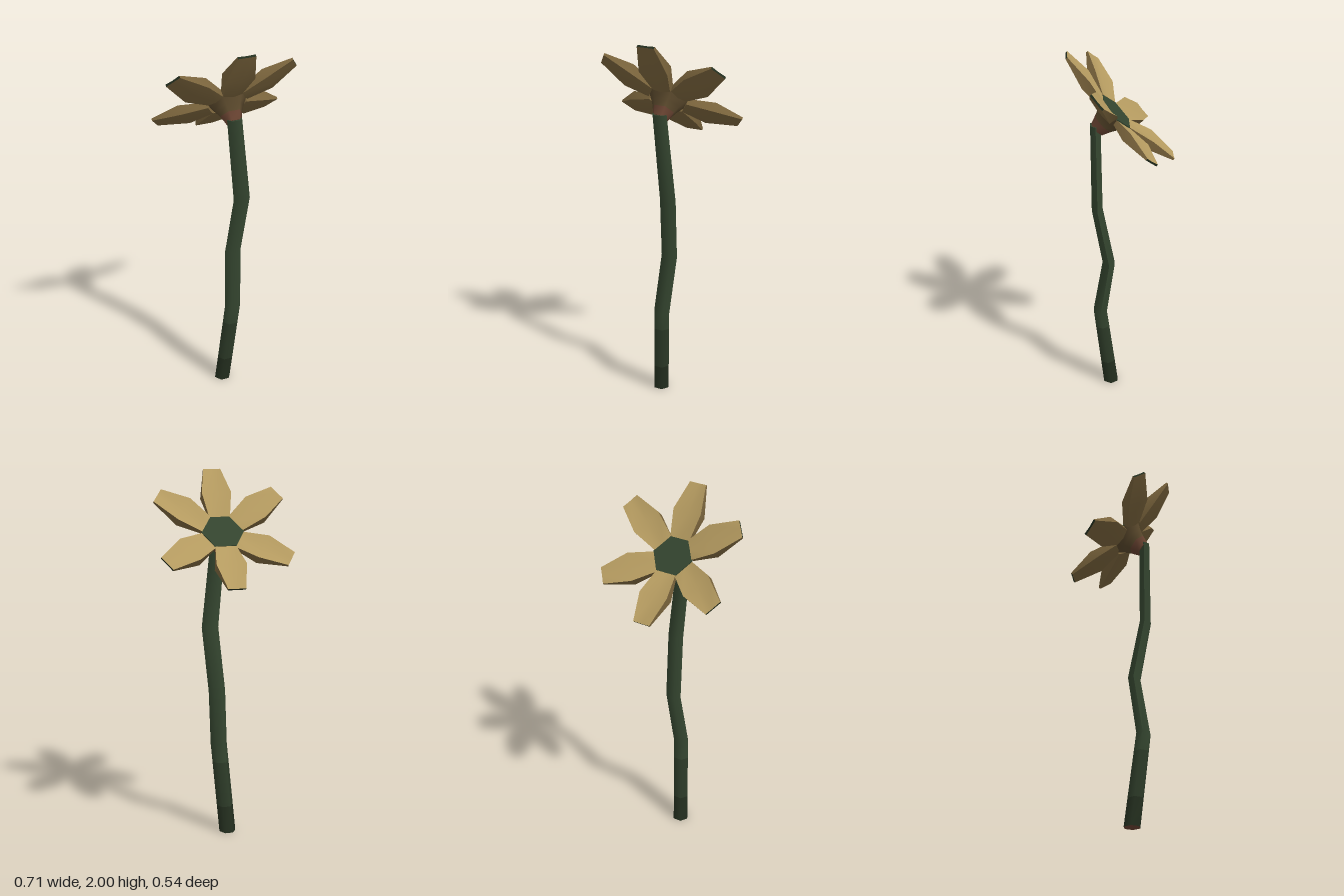
import * as THREE from 'three';
import { toCreasedNormals } from 'three/addons/utils/BufferGeometryUtils.js';

function flat(name, color) {
  const material = new THREE.MeshStandardMaterial({ color });
  material.name = name;
  return material;
}

// Skin over loops of points (each loop counter-clockwise seen from the far end), with both ends capped.
// sideSlot(i, j) picks the material of a side face, startSlot and endSlot those of the caps.
function loft(rows, crease, sideSlot = () => 0, startSlot = 0, endSlot = 0) {
  const n = rows[0].length;
  const index = [];
  const geometry = new THREE.BufferGeometry();
  const face = (slot, ...corners) => {
    geometry.addGroup(index.length, corners.length, slot);
    index.push(...corners);
  };
  for (let i = 0; i < rows.length - 1; i++) {
    for (let j = 0; j < n; j++) {
      const k = (j + 1) % n;
      const a = i * n + j, b = i * n + k, c = b + n, d = a + n;
      face(sideSlot(i, j), a, b, c, a, c, d);
    }
  }
  const end = (rows.length - 1) * n;
  for (let j = 1; j < n - 1; j++) {
    face(startSlot, 0, j + 1, j);
    face(endSlot, end, end + j, end + j + 1);
  }
  geometry.setAttribute('position', new THREE.Float32BufferAttribute(rows.flat(2), 3));
  geometry.setIndex(index);
  return toCreasedNormals(geometry, crease);
}

// Six-sided ring with corners on the x axis
function hexRing(x, y, z, rx, rz) {
  return Array.from({ length: 6 }, (_, i) => {
    const a = (i * Math.PI) / 3;
    return [x + rx * Math.cos(a), y, z - rz * Math.sin(a)];
  });
}

export function createModel() {
  const petalTan = flat('petalTan', 0xb59b60);
  const petalBrown = flat('petalBrown', 0x7a643c);
  const cupBrown = flat('cupBrown', 0x5c4a2d);
  const redBrown = flat('redBrown', 0x6a4432);
  const stemGreen = flat('stemGreen', 0x34452f);
  const shadeGreen = flat('shadeGreen', 0x2d3b28);
  const darkGreen = flat('darkGreen', 0x242f1f);

  const model = new THREE.Group();
  model.name = 'flower';
  const add = (parent, name, geometry, material) => {
    const mesh = new THREE.Mesh(geometry, material);
    mesh.name = name;
    parent.add(mesh);
    return mesh;
  };

  // Crooked stem, darker towards the cut end: x, y, z, half width, half depth
  const stemRows = [
    [-0.035, 0, 0.057, 0.046, 0.039],
    [-0.0245, 0.15, 0.0744, 0.046, 0.038],
    [-0.007, 0.4, 0.1034, 0.046, 0.036],
    [0.0, 0.5, 0.115, 0.046, 0.035],
    [0.022, 0.82, 0.067, 0.046, 0.031],
    [0.045, 1.16, 0.127, 0.046, 0.028],
    [0.0, 1.62, 0.13, 0.041, 0.026],
  ].map(([x, y, z, rx, rz]) => hexRing(x, y, z, rx, rz / 0.866));
  add(model, 'stem', loft(stemRows, 1.2, (i) => Math.min(i, 2), 3, 2),
    [darkGreen, shadeGreen, stemGreen, redBrown]);

  // Tilted flower head, local y is the way it faces
  const head = new THREE.Group();
  head.name = 'flowerHead';
  head.position.set(0, 1.69, 0.025);
  head.rotation.x = THREE.MathUtils.degToRad(-46);
  model.add(head);

  // Cup joining stem and petals, reddish next to the stem
  const cupRows = [[-0.136, 0.042], [-0.09, 0.06], [-0.055, 0.078], [-0.004, 0.112]]
    .map(([y, r]) => hexRing(0, y, 0, r, r));
  add(head, 'cup', loft(cupRows, 1.2, (i) => (i === 0 ? 1 : 0), 1), [cupBrown, redBrown]);

  // Flat heart of the flower
  const heartRows = [-0.002, 0.004].map((y) => hexRing(0, y, 0, 0.115, 0.109));
  add(head, 'heart', loft(heartRows, 0.9), stemGreen);

  // Petal sections: distance, upper half width, lower half width, lower middle, lower edge, upper edge, upper middle
  const petalRows = [
    [0.094, 0.056, 0.05, -0.037, -0.028, 0.002, 0.001],
    [0.23, 0.08, 0.08, -0.022, -0.015, 0.038, 0.018],
    [0.386, 0.047, 0.047, 0.03, 0.03, 0.042, 0.04],
  ].map(([r, w, v, lowMid, lowEdge, topEdge, topMid]) => [
    [0, lowMid, r], [v, lowEdge, r], [w, topEdge, r],
    [0, topMid, r], [-w, topEdge, r], [-v, lowEdge, r],
  ]);

  // Tan upper face, brown sides and underside, green tip edge
  const isTop = (j) => j === 2 || j === 3;
  const petalGeometry = loft(petalRows, 0.9, (i, j) => (isTop(j) ? 0 : 1), 1, 2);
  const petalMaterials = [petalTan, petalBrown, darkGreen];

  // Turn around the heart and pitch of each petal, in degrees
  const turns = [[0, 0], [57.7, -2.1], [122, 2.4], [180, 0], [238, 2.4], [302.3, -2.1]];
  turns.forEach(([turn, pitch], i) => {
    const petal = add(head, 'petal' + (i + 1), petalGeometry, petalMaterials);
    petal.rotation.order = 'YXZ';
    petal.rotation.y = THREE.MathUtils.degToRad(turn);
    petal.rotation.x = THREE.MathUtils.degToRad(pitch);
  });

  return model;
}
